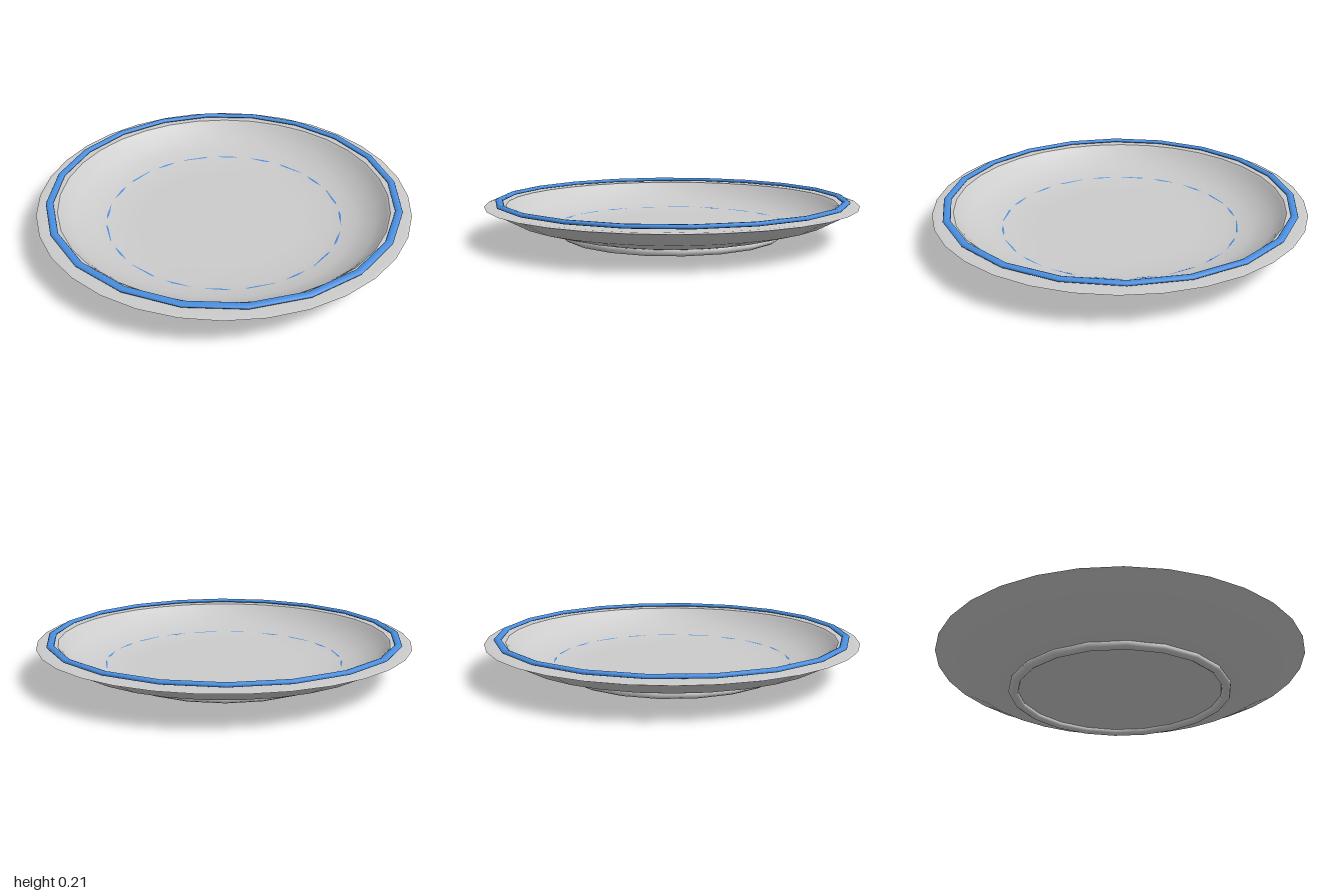
import * as THREE from 'three';

const grey = new THREE.MeshStandardMaterial({ color: 0xcccccc, side: THREE.DoubleSide });
const blue = new THREE.MeshStandardMaterial({ color: 0x4a8fe0 });

// Surface of revolution around y from [radius, height] pairs
function turned(name, profile) {
  const points = profile.map(([r, y]) => new THREE.Vector2(r, y));
  const mesh = new THREE.Mesh(new THREE.LatheGeometry(points, 32), grey);
  mesh.name = name;
  return mesh;
}

// Twenty-sided ring lying flat, its section squashed to the given half height
function ring(name, radius, halfWidth, halfHeight, y, material) {
  const geometry = new THREE.TorusGeometry(radius, halfWidth, 10, 20);
  geometry.rotateX(-Math.PI / 2);
  geometry.scale(1, halfHeight / halfWidth, 1);
  const mesh = new THREE.Mesh(geometry, material);
  mesh.name = name;
  mesh.position.y = y;
  return mesh;
}

export function createModel() {
  const plate = new THREE.Group();
  plate.name = 'plate';

  plate.add(
    // Base and outer wall, from the centre out to the edge
    turned('base', [[0, 0.03], [0.58, 0.03]]),
    turned('underside', [[0.58, 0.03], [0.65, 0.047], [0.84, 0.103], [0.97, 0.173], [1, 0.183]]),

    // Flat rim, from the edge inwards
    turned('rim', [[1, 0.183], [0.98, 0.187], [0.89, 0.187]]),

    // Bowl, from the rim down to the floor
    turned('bowl', [[0.89, 0.187], [0.875, 0.175], [0.82, 0.115], [0.72, 0.075], [0.6, 0.05], [0.45, 0.047], [0, 0.047]]),

    // Painted bands and the foot
    ring('rimBand', 0.931, 0.02, 0.0105, 0.203, blue),
    ring('innerBand', 0.65, 0.01, 0.005, 0.0547, blue),
    ring('footRing', 0.578, 0.026, 0.022, 0.022, grey),
  );

  return plate;
}
